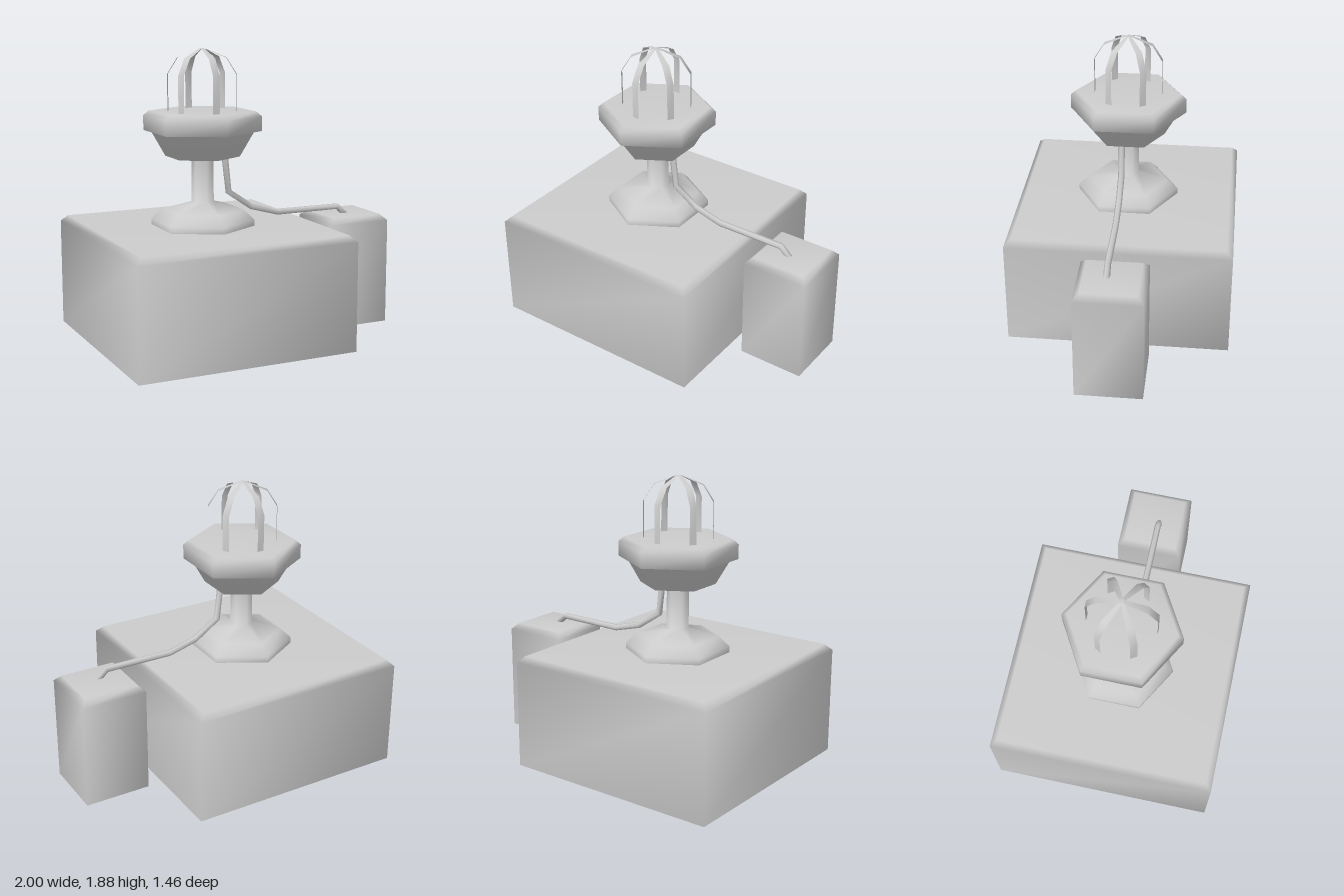
import * as THREE from 'three';

const material = new THREE.MeshStandardMaterial({ color: 0xcccccc, side: THREE.DoubleSide });

// Skin a stack of equal-length rings (counterclockwise about the travel direction), smooth shaded
function loft(name, rings, capEnd = true) {
  const n = rings[0].length, index = [];
  for (let r = 0; r < rings.length - 1; r++) {
    for (let i = 0; i < n; i++) {
      const a = r * n + i, b = r * n + (i + 1) % n;
      index.push(a, b, b + n, a, b + n, a + n);
    }
  }
  if (capEnd) {
    const top = (rings.length - 1) * n;
    for (let i = 1; i < n - 1; i++) index.push(top, top + i, top + i + 1);
  }
  const geometry = new THREE.BufferGeometry().setFromPoints(rings.flat());
  geometry.setIndex(index);
  geometry.computeVertexNormals();
  const mesh = new THREE.Mesh(geometry, material);
  mesh.name = name;
  return mesh;
}

const rectRing = (hx, hz, y) =>
  [[-hx, hz], [hx, hz], [hx, -hz], [-hx, -hz]].map(([x, z]) => new THREE.Vector3(x, y, z));

const hexRing = ([r, y]) => Array.from({ length: 6 }, (_, i) => {
  const a = i * Math.PI / 3;
  return new THREE.Vector3(r * Math.sin(a), y, r * Math.cos(a));
});

// Open-bottomed block with a chamfered top
function block(name, x, hx, hz) {
  const mesh = loft(name, [rectRing(hx, hz, 0), rectRing(hx, hz, 0.705), rectRing(hx - 0.04, hz - 0.04, 0.745)]);
  mesh.position.x = x;
  return mesh;
}

// Mitred pipe along points in a plane of constant z
function pipe(name, points, z, radius, sides) {
  const pts = points.map(([x, y]) => new THREE.Vector2(x, y));
  const rings = pts.map((p, i) => {
    const before = p.clone().sub(pts[Math.max(i - 1, 0)]).normalize();
    const after = pts[Math.min(i + 1, pts.length - 1)].clone().sub(p).normalize();
    const t = before.add(after).normalize();
    return Array.from({ length: sides }, (_, k) => {
      const a = k * 2 * Math.PI / sides, s = radius * Math.sin(a);
      return new THREE.Vector3(p.x + t.y * s, p.y - t.x * s, z + radius * Math.cos(a));
    });
  });
  return loft(name, rings);
}

// Thin bent strip rising from the head and curving in to the axis
function cageStrip(angle) {
  const path = [[0.22, 1.47, 0.0225], [0.22, 1.72, 0.0225], [0.155, 1.825, 0.0225], [0.02, 1.88, 0.0115]];
  const points = path.flatMap(([r, y, w]) => [new THREE.Vector3(-w, y, r), new THREE.Vector3(w, y, r)]);
  const geometry = new THREE.BufferGeometry().setFromPoints(points);
  const index = [];
  for (let i = 0; i < path.length - 1; i++) {
    const a = i * 2;
    index.push(a, a + 1, a + 3, a, a + 3, a + 2);
  }
  geometry.setIndex(index);
  geometry.computeVertexNormals();
  const mesh = new THREE.Mesh(geometry, material);
  mesh.name = 'cageStrip';
  mesh.rotation.y = angle;
  return mesh;
}

export function createModel() {
  const model = new THREE.Group();
  model.name = 'pedestalMachine';

  // Main base and the smaller block beside it
  model.add(block('mainBase', -0.27, 0.73, 0.73));
  model.add(block('sideBlock', 0.78, 0.22, 0.217));

  // Hexagonal tower
  const tower = new THREE.Group();
  tower.name = 'tower';
  tower.position.x = -0.27;
  tower.add(loft('pedestal', [
    [0.335, 0.745], [0.335, 0.785], [0.265, 0.85], [0.072, 0.9], [0.07, 1.2],
  ].map(hexRing), false));
  tower.add(loft('head', [
    [0.075, 1.175], [0.24, 1.195], [0.335, 1.36], [0.38, 1.36], [0.38, 1.455], [0.345, 1.485],
  ].map(hexRing)));

  // Cage of six strips meeting at a small cap
  const cage = new THREE.Group();
  cage.name = 'cage';
  for (let i = 0; i < 6; i++) cage.add(cageStrip(i * Math.PI / 3));
  cage.add(loft('cageCap', [[0.024, 1.878], [0.018, 1.881]].map(hexRing)));
  tower.add(cage);
  model.add(tower);

  // Pipe from the underside of the head to the side block
  model.add(pipe('connectingPipe', [
    [-0.13, 1.22], [-0.1, 0.955], [0.065, 0.845], [0.255, 0.793], [0.715, 0.793], [0.78, 0.73],
  ], 0.03, 0.021, 6));

  return model;
}
